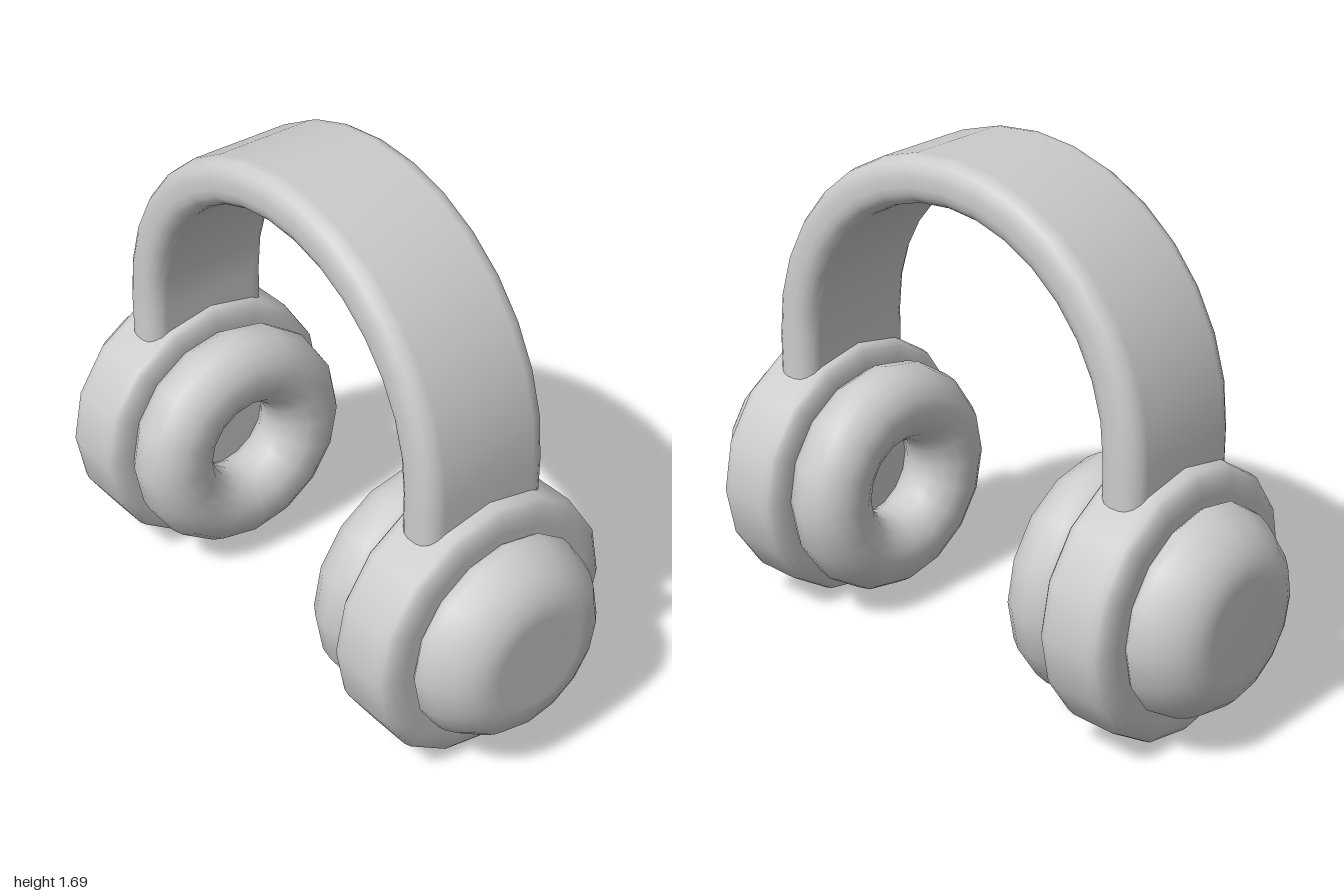
import * as THREE from 'three';

const material = new THREE.MeshStandardMaterial({ color: 0xcccccc, side: THREE.DoubleSide });
const SIDES = 16;
const CUP_Y = 0.443;

// Turned part: profile pairs are [distance out along x, radius]
function turned(name, profile) {
  const points = profile.map(([out, radius]) => new THREE.Vector2(radius, out));
  const mesh = new THREE.Mesh(new THREE.LatheGeometry(points, SIDES), material);
  mesh.rotation.z = -Math.PI / 2;
  mesh.name = name;
  return mesh;
}

// One ear cup, facing out along +x
function earCup(name) {
  const cup = new THREE.Group();
  cup.name = name;

  cup.add(turned('housing', [
    [0.565, 0], [0.565, 0.36], [0.567, 0.39], [0.575, 0.418], [0.59, 0.436], [0.615, 0.442],
    [0.765, 0.442], [0.79, 0.436], [0.805, 0.418], [0.813, 0.39], [0.815, 0.36], [0.815, 0],
  ]));

  cup.add(turned('outerCap', [
    [0.8, 0.3], [0.815, 0.326], [0.83, 0.338], [0.86, 0.333], [0.9, 0.316], [0.94, 0.289],
    [0.972, 0.256], [0.992, 0.218], [0.999, 0.185], [1, 0.16], [1, 0],
  ]));

  // Soft ring cushion
  const cushion = new THREE.Mesh(new THREE.TorusGeometry(0.262, 0.13, 16, SIDES), material);
  cushion.name = 'earCushion';
  cushion.rotation.y = Math.PI / 2;
  cushion.position.x = 0.475;
  cup.add(cushion);

  cup.position.y = CUP_Y;
  return cup;
}

// Band: a rounded strip section swept over a half circle with straight ends
function headband() {
  const middle = 0.679, halfThick = 0.076, halfWide = 0.23, corner = 0.06;
  const centreY = 0.94, endY = 0.66, arcSteps = 16;

  // Section as [radial offset, z], counter-clockwise
  const section = [];
  [[1, 1], [-1, 1], [-1, -1], [1, -1]].forEach(([sr, sz], quarter) => {
    for (let i = 0; i <= 4; i++) {
      const a = (quarter + i / 4) * Math.PI / 2;
      section.push([
        sr * (halfThick - corner) + corner * Math.cos(a),
        sz * (halfWide - corner) + corner * Math.sin(a),
      ]);
    }
  });

  // Stations as [angle, height of arc centre]
  const stations = [[0, endY]];
  for (let i = 0; i <= arcSteps; i++) stations.push([Math.PI * i / arcSteps, centreY]);
  stations.push([Math.PI, endY]);

  const positions = [], indices = [], n = section.length;
  stations.forEach(([angle, y], s) => {
    section.forEach(([dr, z], k) => {
      const r = middle + dr;
      positions.push(r * Math.cos(angle), y + r * Math.sin(angle), z);
      if (s === stations.length - 1) return;
      const a = s * n + k, b = s * n + (k + 1) % n;
      indices.push(a, a + n, b, b, a + n, b + n);
    });
  });

  const geometry = new THREE.BufferGeometry();
  geometry.setAttribute('position', new THREE.Float32BufferAttribute(positions, 3));
  // Reverse the winding so the faces point outwards
  indices.reverse();
  geometry.setIndex(indices);
  geometry.computeVertexNormals();
  const mesh = new THREE.Mesh(geometry, material);
  mesh.name = 'headband';
  return mesh;
}

export function createModel() {
  const model = new THREE.Group();
  model.name = 'headphones';
  const left = earCup('leftEarCup');
  const right = earCup('rightEarCup');
  right.rotation.y = Math.PI;
  model.add(left, right, headband());
  return model;
}
